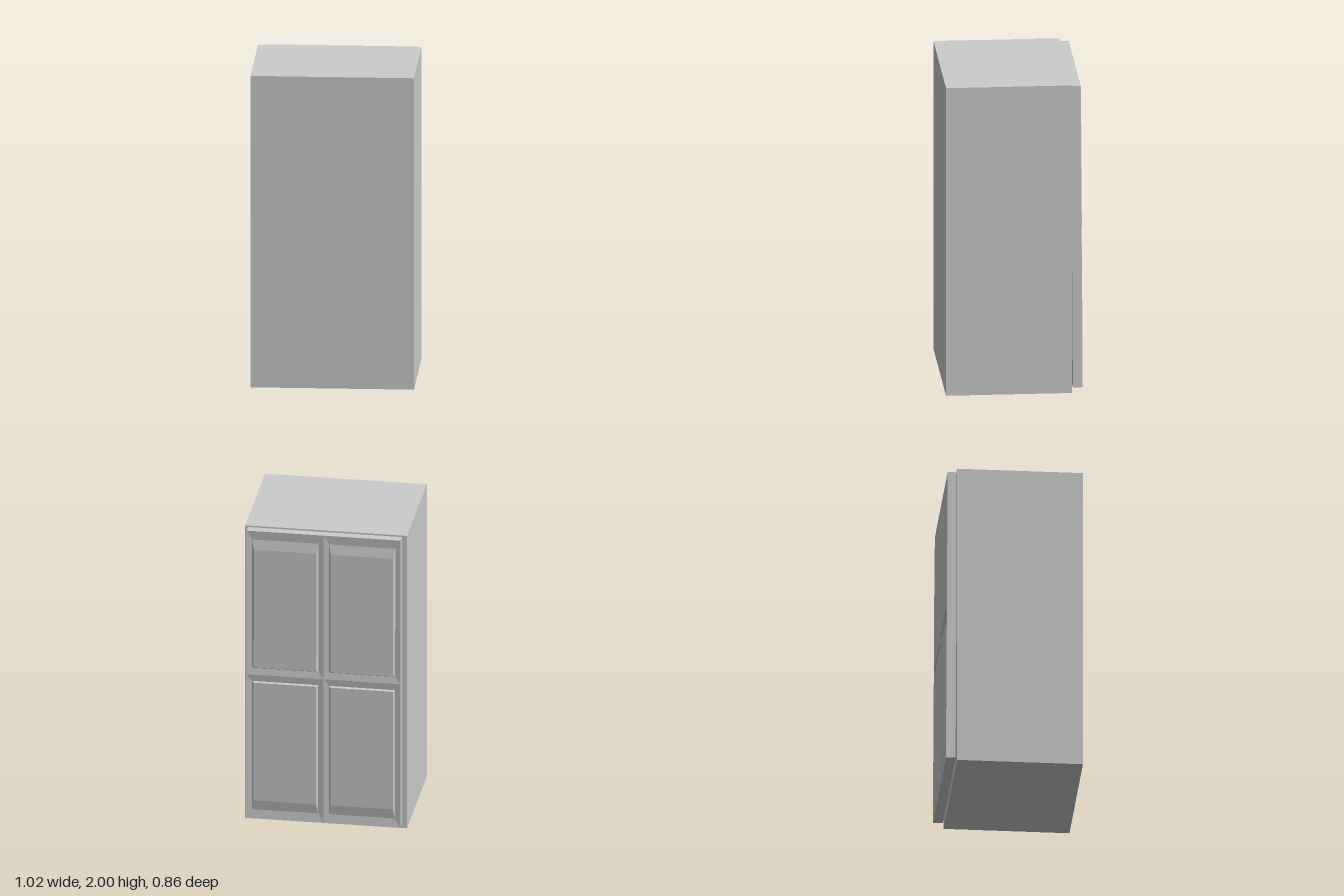
import * as THREE from 'three';

const material = new THREE.MeshStandardMaterial({ color: 0xcccccc, flatShading: true });
const W = 0.485, H = 0.98, T = 0.06; // door half width, half height, thickness

// Builds a flat-shaded geometry from quads given as four corners each
function quadGeometry(quads) {
  const pos = [];
  for (const [a, b, c, d] of quads) pos.push(...a, ...b, ...c, ...a, ...c, ...d);
  const g = new THREE.BufferGeometry();
  g.setAttribute('position', new THREE.Float32BufferAttribute(pos, 3));
  g.computeVertexNormals();
  return g;
}

// One quarter of the door face: ridge -> groove -> raised flat panel
function panelGeometry(sx, sy) {
  // inner x, outer x, inner y, outer y, z
  const loops = [
    [0, W, 0, H, -T],
    [0.034, W - 0.034, 0.045, H - 0.06, -T + 0.006],
    [0.045, W - 0.046, 0.052, H - 0.125, -T - 0.005],
  ].map(([x0, x1, y0, y1, z]) =>
    [[x0, y0], [x1, y0], [x1, y1], [x0, y1]].map(([x, y]) => [sx * x, sy * y, z]));
  const quads = [loops[2]];
  for (let l = 0; l < 2; l++) {
    for (let i = 0; i < 4; i++) {
      const j = (i + 1) % 4;
      quads.push([loops[l][i], loops[l][j], loops[l + 1][j], loops[l + 1][i]]);
    }
  }
  // faces point to -z; mirrored quarters already have the order swapped
  if (sx * sy > 0) quads.forEach((q) => q.reverse());
  return quadGeometry(quads);
}

// Door edges and inner face, open where the panelled face sits
function doorShellGeometry() {
  const c = [[-W, -H], [W, -H], [W, H], [-W, H]];
  const inner = c.map(([x, y]) => [x, y, 0]);
  const outer = c.map(([x, y]) => [x, y, -T]);
  const quads = [inner];
  for (let i = 0; i < 4; i++) {
    const j = (i + 1) % 4;
    quads.push([outer[i], outer[j], inner[j], inner[i]]);
  }
  return quadGeometry(quads);
}

export function createModel() {
  const model = new THREE.Group();
  model.name = 'cabinet';

  const add = (parent, name, geometry) => {
    const mesh = new THREE.Mesh(geometry, material);
    mesh.name = name;
    parent.add(mesh);
    return mesh;
  };

  // Cabinet body
  add(model, 'body', new THREE.BoxGeometry(1.02, 2, 0.786)).position.set(0, 1, 0.035);

  // Door, leaning very slightly
  const door = new THREE.Group();
  door.name = 'door';
  door.position.set(0.007, 1.01, -0.36);
  door.rotation.x = 0.0055;
  model.add(door);
  add(door, 'doorShell', doorShellGeometry());
  for (const [sx, side] of [[1, 'Left'], [-1, 'Right']]) {
    for (const [sy, level] of [[1, 'upper'], [-1, 'lower']]) {
      add(door, `${level}${side}Panel`, panelGeometry(sx, sy));
    }
  }
  return model;
}
